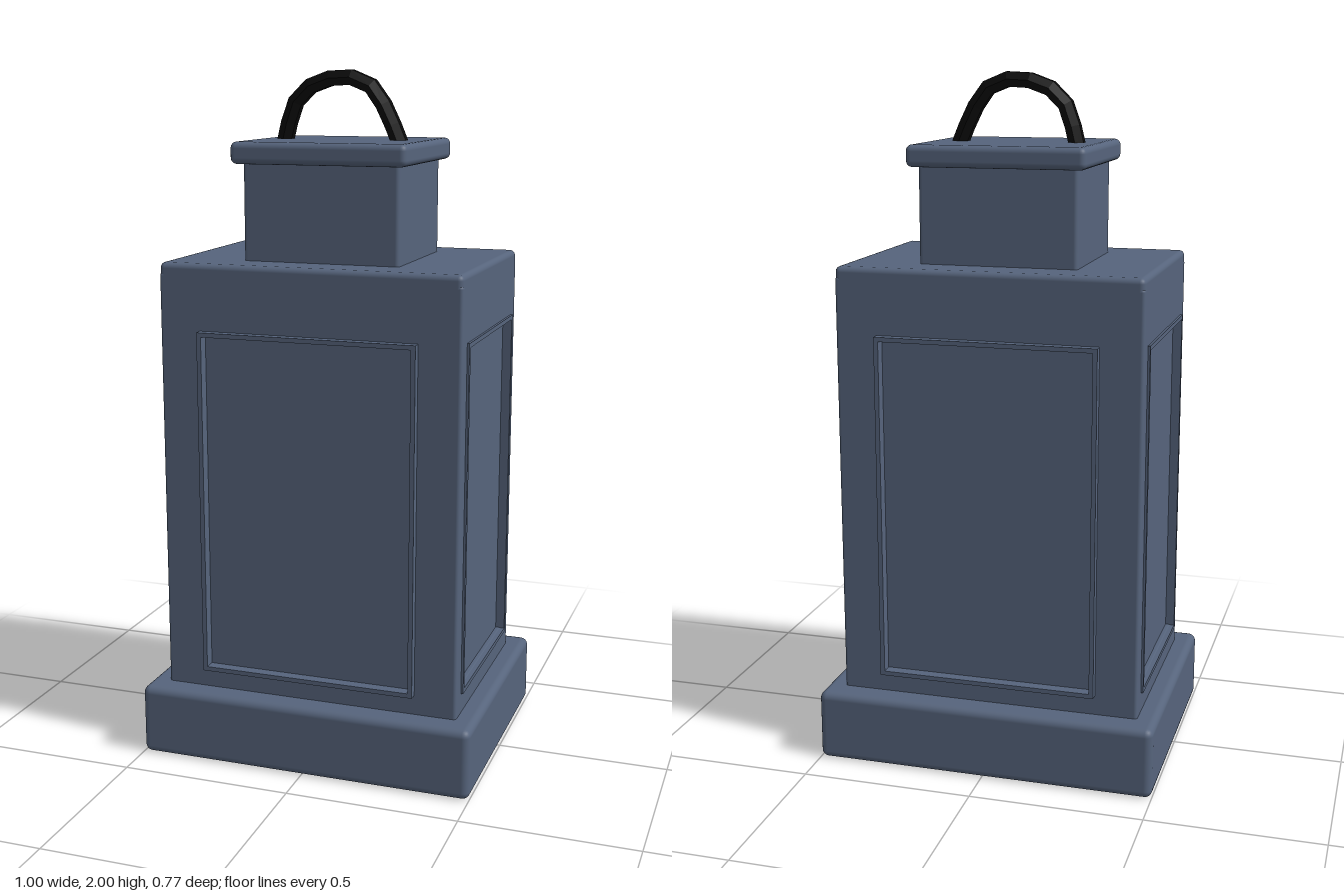
import * as THREE from 'three';
import { RoundedBoxGeometry } from 'three/addons/geometries/RoundedBoxGeometry.js';

export function createModel() {
  const lantern = new THREE.Group();
  lantern.name = 'lantern';

  const metal = new THREE.MeshStandardMaterial({ color: 0x56647c });
  metal.name = 'slate blue metal';
  const black = new THREE.MeshStandardMaterial({ color: 0x0a0a0a, flatShading: true });
  black.name = 'black handle';

  const add = (name, geometry, material = metal) => {
    const mesh = new THREE.Mesh(geometry, material);
    mesh.name = name;
    lantern.add(mesh);
    return mesh;
  };

  // Softly rounded block between two heights, centred on x, z
  const block = (name, width, depth, bottom, top, radius, x = 0, z = 0) => {
    const mesh = add(name, new RoundedBoxGeometry(width, top - bottom, depth, 3, radius));
    mesh.position.set(x, (bottom + top) / 2, z);
  };
  block('base', 1.0, 0.773, 0.002, 0.21, 0.022);
  block('lowerRail', 0.885, 0.63, 0.15, 0.282, 0.012);
  block('upperRail', 0.885, 0.63, 1.264, 1.468, 0.016);
  block('neck', 0.46, 0.402, 1.42, 1.77, 0.012);
  block('cap', 0.515, 0.47, 1.74, 1.802, 0.018);

  // Corner posts between the rails
  for (const x of [-1, 1]) {
    for (const z of [-1, 1]) {
      block('cornerPost', 0.1345, 0.0645, 0.17, 1.44, 0.01, x * 0.37525, z * 0.28275);
    }
  }

  // Recessed panes: the four sides of one inner box
  const panes = add('panes', new THREE.BoxGeometry(0.844, 1.1, 0.616));
  panes.position.y = 0.773;

  // Thin raised rim around each window opening
  const rectangle = (path, w, h) => {
    path.moveTo(-w / 2, -h / 2);
    path.lineTo(w / 2, -h / 2);
    path.lineTo(w / 2, h / 2);
    path.lineTo(-w / 2, h / 2);
    path.closePath();
    return path;
  };
  const windowRim = (name, width, inner, outer, angle) => {
    const height = 1.01, rim = 0.013;
    const outline = rectangle(new THREE.Shape(), width, height);
    outline.holes.push(rectangle(new THREE.Path(), width - 2 * rim, height - 2 * rim));
    const geometry = new THREE.ExtrudeGeometry(outline, { depth: outer - inner, bevelEnabled: false });
    const mesh = add(name, geometry.translate(0, 0, inner));
    mesh.position.y = 0.773;
    mesh.rotation.y = angle;
  };
  windowRim('frontWindowRim', 0.64, 0.3, 0.341, 0);
  windowRim('backWindowRim', 0.64, 0.3, 0.341, Math.PI);
  windowRim('leftWindowRim', 0.525, 0.415, 0.449, Math.PI / 2);
  windowRim('rightWindowRim', 0.525, 0.415, 0.449, -Math.PI / 2);

  // Faceted carrying loop
  const arch = new THREE.CatmullRomCurve3([
    [-0.182, 1.785], [-0.147, 1.905], [-0.1, 1.952], [-0.02, 1.977],
    [0.03, 1.975], [0.085, 1.95], [0.128, 1.885], [0.172, 1.785],
  ].map(([x, y]) => new THREE.Vector3(x, y, -0.004)));
  add('handle', new THREE.TubeGeometry(arch, 9, 0.025, 6, false), black);

  return lantern;
}
